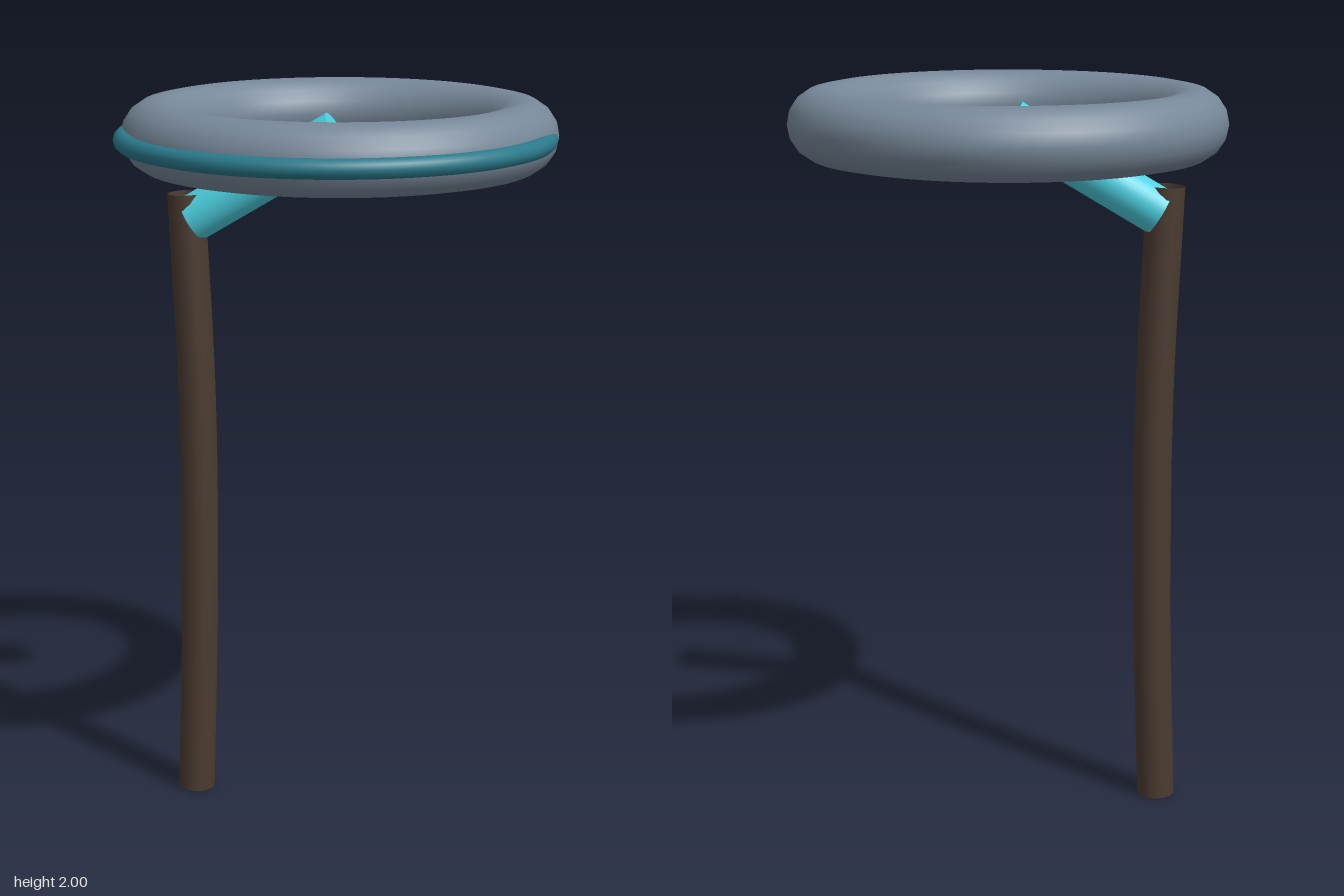
import * as THREE from 'three';

const RING_Y = 1.906;
const AXIS_Z = -0.038;

function part(name, geometry, color, side = THREE.FrontSide) {
  const mesh = new THREE.Mesh(geometry, new THREE.MeshStandardMaterial({ color, side }));
  mesh.name = name;
  return mesh;
}

export function createModel() {
  const model = new THREE.Group();
  model.name = 'ringOnPole';

  // Thick horizontal ring
  const ring = part('ring', new THREE.TorusGeometry(0.49, 0.094, 16, 64), 0x778899);
  ring.rotation.x = Math.PI / 2;
  ring.position.set(0, RING_Y, -0.04);
  model.add(ring);

  // Thin band hugging the front half, its ends sinking into the ring
  const overlap = 0.1;
  const bandGeometry = new THREE.TorusGeometry(0.56, 0.026, 12, 64, Math.PI + 2 * overlap);
  bandGeometry.rotateZ(-overlap).rotateX(Math.PI / 2);
  const band = part('frontBand', bandGeometry, 0x2b7a8b, THREE.DoubleSide);
  band.position.set(0, RING_Y, 0.034);
  model.add(band);

  // Slanted arm from the pole head to the ring's centre
  const from = new THREE.Vector3(-0.407, 1.665, AXIS_Z);
  const to = new THREE.Vector3(-0.005, 1.905, AXIS_Z);
  const axis = to.clone().sub(from);
  const arm = part('arm', new THREE.CylinderGeometry(0.064, 0.064, axis.length(), 32), 0x4dd0e1);
  arm.position.copy(from).add(to).multiplyScalar(0.5);
  arm.quaternion.setFromUnitVectors(new THREE.Vector3(0, 1, 0), axis.normalize());
  model.add(arm);

  // Slightly bowed hollow pole
  const bow = new THREE.CatmullRomCurve3([
    [-0.42, 0.002], [-0.402, 0.58], [-0.4, 1.16], [-0.422, 1.736],
  ].map(([x, y]) => new THREE.Vector3(x, y, AXIS_Z + 0.003)));
  model.add(part('pole', new THREE.TubeGeometry(bow, 32, 0.052, 16), 0x4a3b30, THREE.DoubleSide));

  return model;
}
